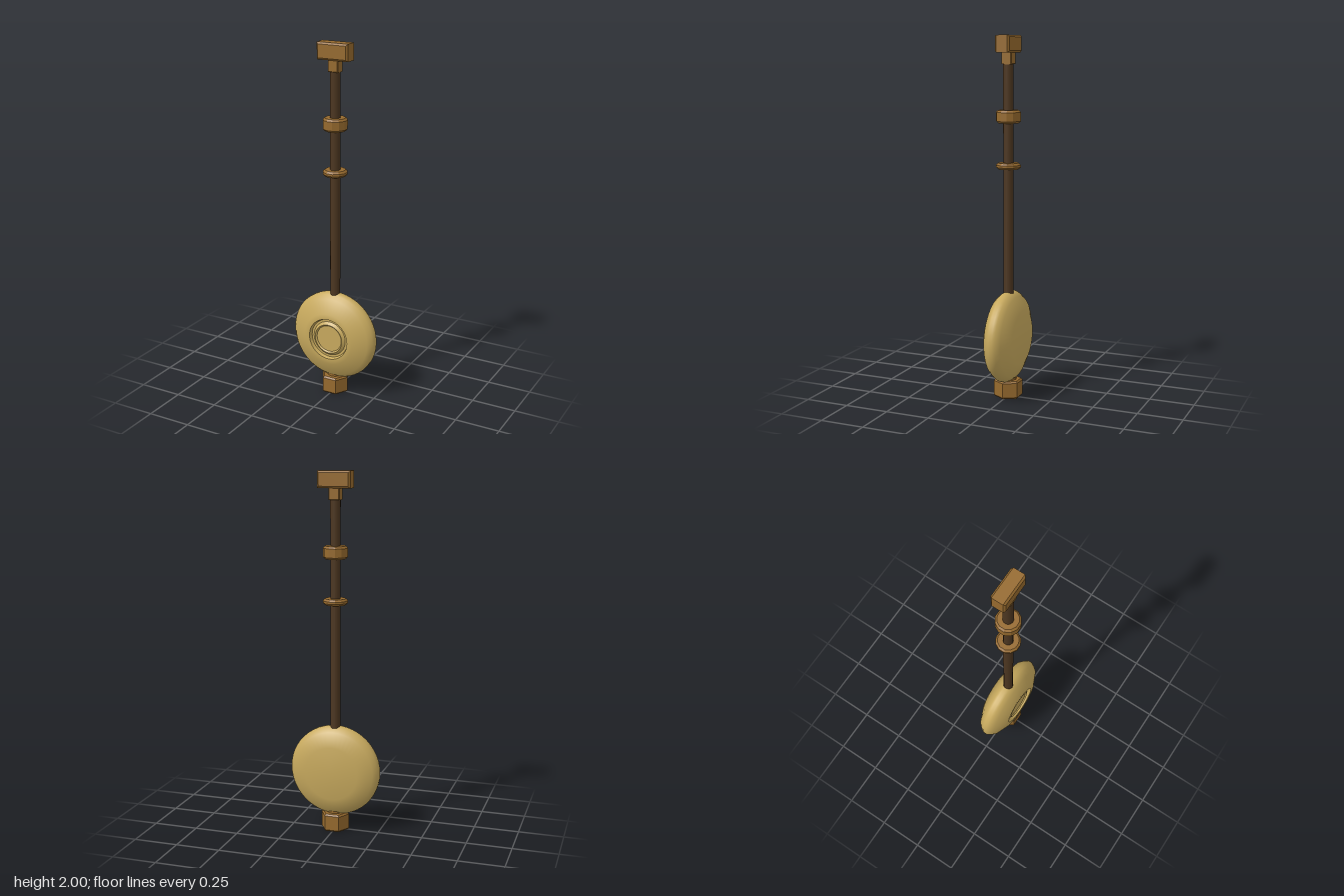
import * as THREE from 'three';

const mat = (name, color, opts = {}) => new THREE.MeshStandardMaterial({ name, color, ...opts });

export function createModel() {
  const group = new THREE.Group();
  const brass = mat('pale brass', 0xc8aa5e, { side: THREE.DoubleSide });
  const bronze = mat('bronze', 0x966a2e, { flatShading: true });
  const wood = mat('dark wood', 0x4c3620);

  const add = (name, geometry, material, y) => {
    const mesh = new THREE.Mesh(geometry, material);
    mesh.name = name;
    mesh.position.y = y;
    group.add(mesh);
    return mesh;
  };
  const lathe = (pts, sides) =>
    new THREE.LatheGeometry(pts.map(([r, y]) => new THREE.Vector2(r, y)), sides);

  // Box with chamfered edges
  const chamferBox = (w, h, d, b) => {
    const x = w / 2 - b, y = h / 2 - b;
    const shape = new THREE.Shape([[-x, -y], [x, -y], [x, y], [-x, y]].map(p => new THREE.Vector2(...p)));
    return new THREE.ExtrudeGeometry(shape, {
      depth: d - 2 * b, bevelThickness: b, bevelSize: b, bevelSegments: 1,
    }).translate(0, 0, b - d / 2);
  };

  // Chamfered solid disc, used for collars and the hexagonal nut
  const chamferDisc = (r, h, b, sides) => lathe([
    [0, -h / 2], [r - b, -h / 2], [r, -h / 2 + b], [r, h / 2 - b], [r - b, h / 2], [0, h / 2],
  ], sides);

  // Rod
  add('rod', new THREE.CylinderGeometry(0.028, 0.028, 1.49, 16), wood, 1.115);

  // Top hanger and its neck
  add('topBlock', chamferBox(0.184, 0.092, 0.084, 0.01), bronze, 1.954);
  add('topNeck', chamferBox(0.06, 0.07, 0.06, 0.004), bronze, 1.881);

  // Collars
  add('upperCollar', chamferDisc(0.068, 0.07, 0.011, 12).rotateY(Math.PI / 12), bronze, 1.567);
  add('lowerCollar', chamferDisc(0.068, 0.034, 0.011, 12).rotateY(Math.PI / 12), bronze, 1.3);

  // Bob body, with a ring groove on the front
  const body = lathe([
    [0, -0.085], [0.15, -0.085], [0.228, -0.049], [0.248, -0.025], [0.257, -0.01],
    [0.257, 0.01], [0.248, 0.025], [0.228, 0.049], [0.15, 0.085], [0.12, 0.085],
  ], 48).rotateX(Math.PI / 2);
  add('bob', body, brass, 0.346);
  const band = (name, a, b) => add(name, lathe([a, b], 48).rotateX(Math.PI / 2), brass, 0.346);
  band('grooveOuterWall', [0.12, 0.085], [0.113, 0.066]);
  band('grooveFloor', [0.113, 0.066], [0.1, 0.066]);
  band('grooveStep', [0.1, 0.066], [0.085, 0.08]);
  band('bossWall', [0.085, 0.08], [0.077, 0.072]);
  band('bossFace', [0.077, 0.072], [0, 0.072]);

  // Hexagonal rating nut with a short threaded stub up into the bob
  add('ratingNut', chamferDisc(0.081, 0.1, 0.009, 6).rotateY(Math.PI / 6), bronze, 0.05);
  add('nutStub', new THREE.CylinderGeometry(0.045, 0.045, 0.05, 12), bronze, 0.105);

  return group;
}
